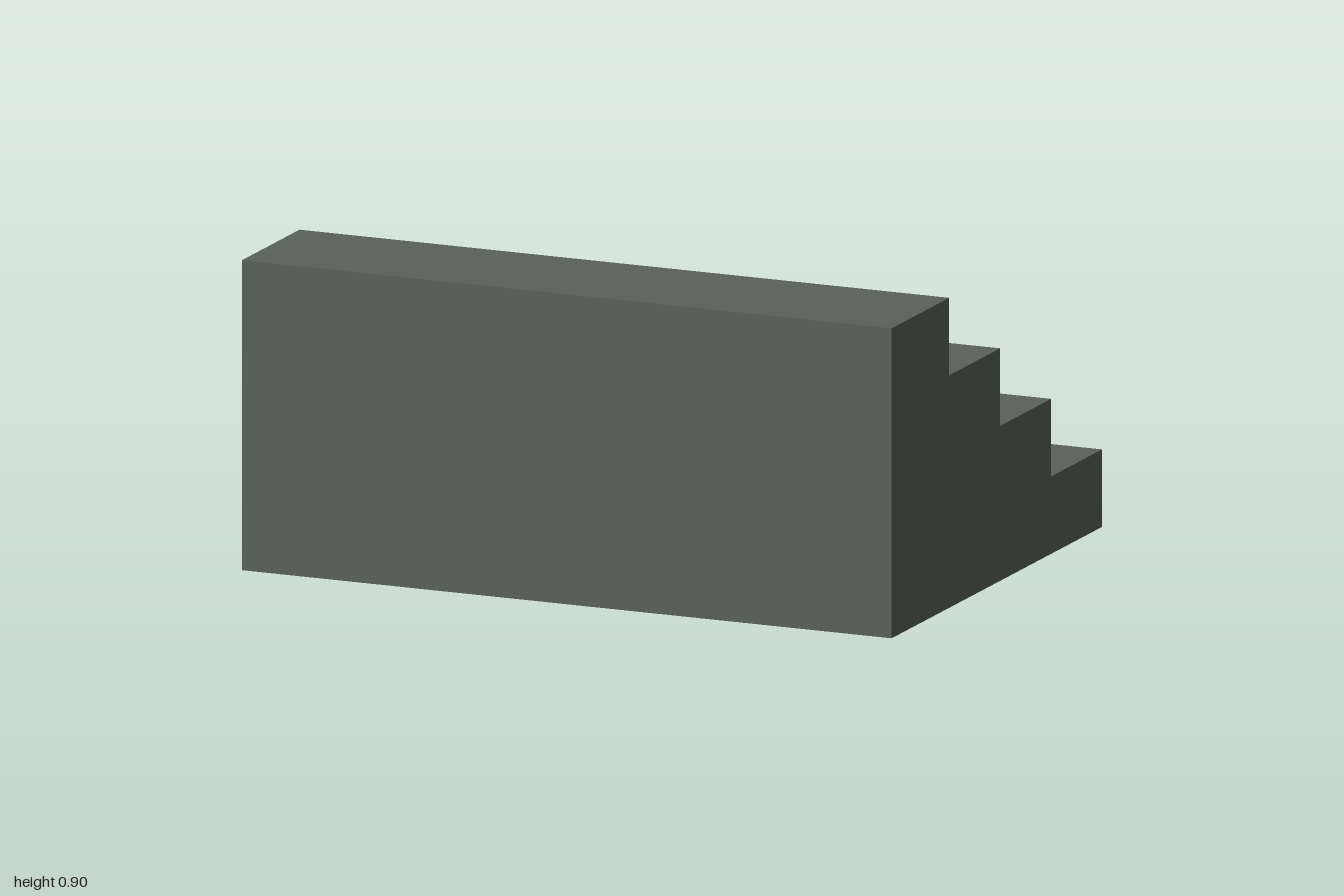
import * as THREE from 'three';

export function createModel() {
  const model = new THREE.Group();
  model.name = 'staircase';

  const stone = new THREE.MeshStandardMaterial({ color: 0x58625b });
  stone.name = 'grey green stone';

  const steps = 4, rise = 0.2243, tread = 0.3525, halfDepth = 0.728, width = 2;

  // Side profile: steps climb from the back (-z) to the tall front wall (+z)
  const profile = new THREE.Shape();
  profile.moveTo(halfDepth, 0);
  profile.lineTo(halfDepth, steps * rise);
  for (let i = steps - 1; i >= 0; i--) {
    const z = -halfDepth + i * tread;
    profile.lineTo(z, (i + 1) * rise);
    profile.lineTo(z, i * rise);
  }

  // Sweep the profile across the width, turning its x axis onto z
  const geometry = new THREE.ExtrudeGeometry(profile, { depth: width, bevelEnabled: false });
  geometry.translate(0, 0, -width / 2);
  geometry.rotateY(-Math.PI / 2);

  const stairs = new THREE.Mesh(geometry, stone);
  stairs.name = 'stairs';
  model.add(stairs);
  return model;
}
